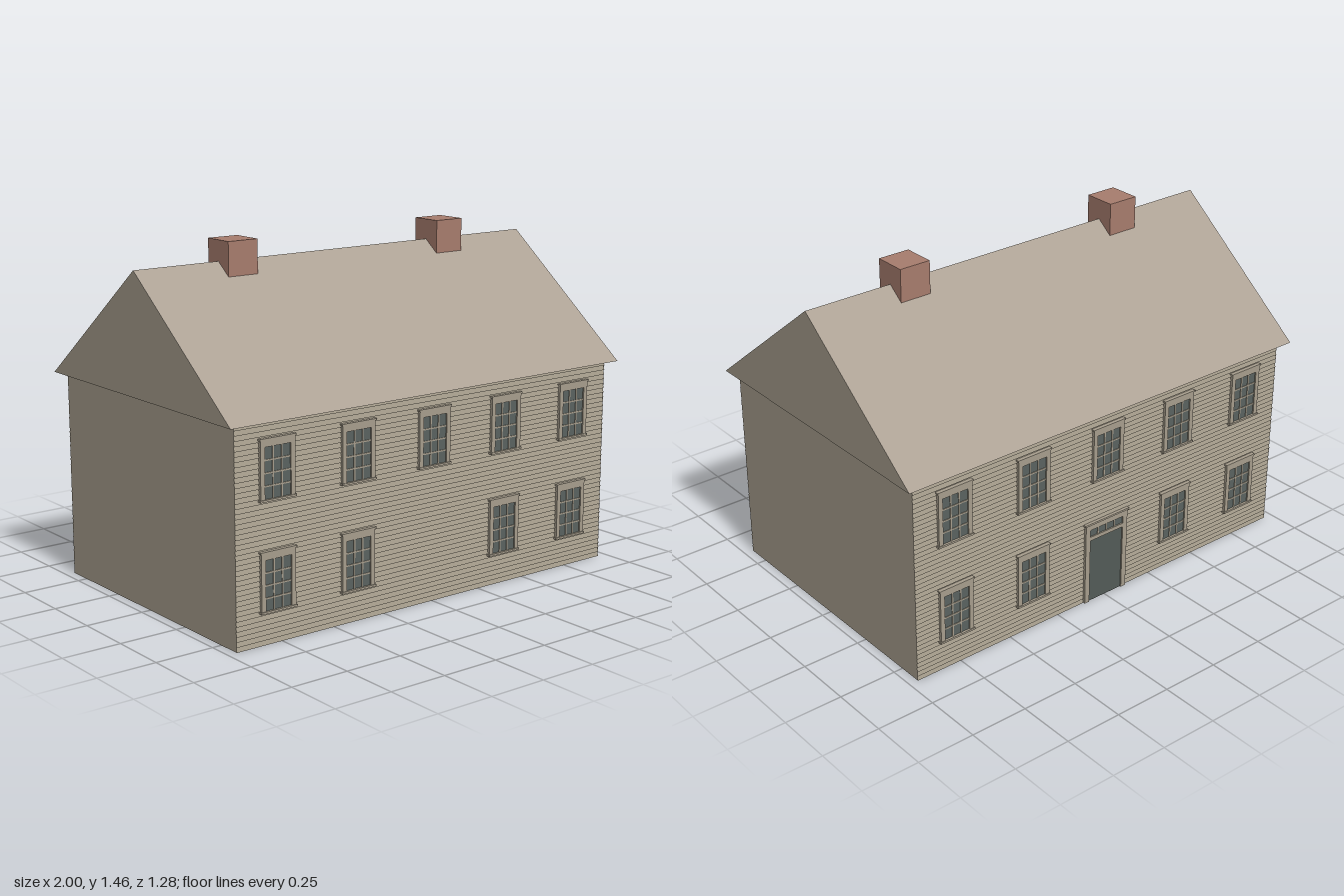
import * as THREE from 'three';

const mat = (name, color, extra = {}) => new THREE.MeshStandardMaterial({ name, color, ...extra });

export function createModel() {
  const wallMat = mat('wallTan', 0xa69d8c, { side: THREE.DoubleSide });
  const roofMat = mat('roofTaupe', 0xaca194);
  const trimMat = mat('trimTan', 0xa69d8c);
  const glassMat = mat('glassGrey', 0x5a625f);
  const doorMat = mat('doorGrey', 0x535b57);
  const brickMat = mat('brickRed', 0xa67c6d);

  const house = new THREE.Group();
  house.name = 'house';

  const add = (parent, name, geometry, material, x = 0, y = 0, z = 0) => {
    const mesh = new THREE.Mesh(geometry, material);
    mesh.name = name;
    mesh.position.set(x, y, z);
    parent.add(mesh);
    return mesh;
  };
  // Box given by its left, right, bottom, top, back and front limits
  const box = (parent, name, material, x0, x1, y0, y1, z0, z1) =>
    add(parent, name, new THREE.BoxGeometry(x1 - x0, y1 - y0, z1 - z0), material,
      (x0 + x1) / 2, (y0 + y1) / 2, (z0 + z1) / 2);

  const HALF = 0.96, EAVE = 0.87, Z = 0.6;

  // Plain end walls; the house is open underneath
  for (const s of [1, -1]) {
    const wall = add(house, 'endWall', new THREE.PlaneGeometry(2 * Z, EAVE), wallMat, s * HALF, EAVE / 2, 0);
    wall.rotation.y = s * Math.PI / 2;
  }

  // Clapboard siding: a sawtooth section run along the wall
  const boards = 44, step = EAVE / boards;
  const section = new THREE.Shape();
  section.moveTo(0.592, 0);
  for (let i = 0; i < boards; i++) {
    section.lineTo(0.603, i * step);
    section.lineTo(0.597, (i + 1) * step);
  }
  section.lineTo(0.592, EAVE);
  const siding = new THREE.ExtrudeGeometry(section, { depth: 2 * HALF, bevelEnabled: false });
  siding.rotateY(-Math.PI / 2).translate(HALF, 0, 0);

  // Sash window, three panes wide and four high
  const makeWindow = (x, y) => {
    const w = new THREE.Group();
    w.name = 'window';
    w.position.set(x, y, 0);
    box(w, 'glass', glassMat, -0.065, 0.065, 0.008, 0.215, 0.6, 0.606);
    for (const s of [1, -1]) box(w, 'jamb', trimMat, s * 0.07 - 0.01, s * 0.07 + 0.01, 0.008, 0.235, 0.598, 0.612);
    box(w, 'head', trimMat, -0.06, 0.06, 0.209, 0.235, 0.598, 0.612);
    box(w, 'cap', trimMat, -0.084, 0.084, 0.235, 0.242, 0.598, 0.615);
    box(w, 'sill', trimMat, -0.084, 0.084, 0, 0.008, 0.598, 0.616);
    for (const s of [1, -1]) box(w, 'uprightBar', trimMat, s * 0.02 - 0.003, s * 0.02 + 0.003, 0.008, 0.209, 0.6, 0.609);
    for (let i = 1; i < 4; i++) {
      const by = 0.008 + i * 0.05;
      box(w, 'crossBar', trimMat, -0.06, 0.06, by - 0.003, by + 0.003, 0.6, 0.609);
    }
    return w;
  };

  // Door with a row of lights above it
  const makeDoor = () => {
    const d = new THREE.Group();
    d.name = 'door';
    box(d, 'doorPanel', doorMat, -0.09, 0.09, 0, 0.3, 0.598, 0.606);
    box(d, 'transomGlass', glassMat, -0.09, 0.09, 0.31, 0.35, 0.598, 0.606);
    for (const s of [1, -1]) box(d, 'doorJamb', trimMat, s * 0.1 - 0.012, s * 0.1 + 0.012, 0, 0.37, 0.598, 0.612);
    box(d, 'doorHead', trimMat, -0.088, 0.088, 0.345, 0.37, 0.598, 0.612);
    box(d, 'doorCap', trimMat, -0.118, 0.118, 0.37, 0.378, 0.598, 0.616);
    box(d, 'transomRail', trimMat, -0.088, 0.088, 0.295, 0.312, 0.598, 0.612);
    for (const x of [-0.044, 0, 0.044]) box(d, 'transomBar', trimMat, x - 0.003, x + 0.003, 0.312, 0.345, 0.598, 0.609);
    return d;
  };

  // Front and back walls share one layout; the door is in the back
  for (const side of ['front', 'back']) {
    const wall = new THREE.Group();
    wall.name = side + 'Wall';
    add(wall, 'siding', siding, wallMat);
    for (let i = -2; i <= 2; i++) {
      wall.add(makeWindow(i * 0.385, 0.563));
      if (i !== 0) wall.add(makeWindow(i * 0.385, 0.128));
    }
    if (side === 'back') {
      wall.add(makeDoor());
      wall.rotation.y = Math.PI;
    }
    house.add(wall);
  }

  // Gable roof with wall-coloured ends
  const gable = new THREE.Shape([[-0.64, EAVE], [0.64, EAVE], [0, 1.37]].map(p => new THREE.Vector2(...p)));
  const roof = new THREE.ExtrudeGeometry(gable, { depth: 2, bevelEnabled: false });
  roof.rotateY(-Math.PI / 2).translate(1, 0, 0);
  add(house, 'roof', roof, [wallMat, roofMat]);

  // Chimneys astride the ridge
  for (const s of [1, -1]) box(house, 'chimney', brickMat, s * 0.538 - 0.07, s * 0.538 + 0.07, 1.29, 1.455, -0.07, 0.07);

  return house;
}
